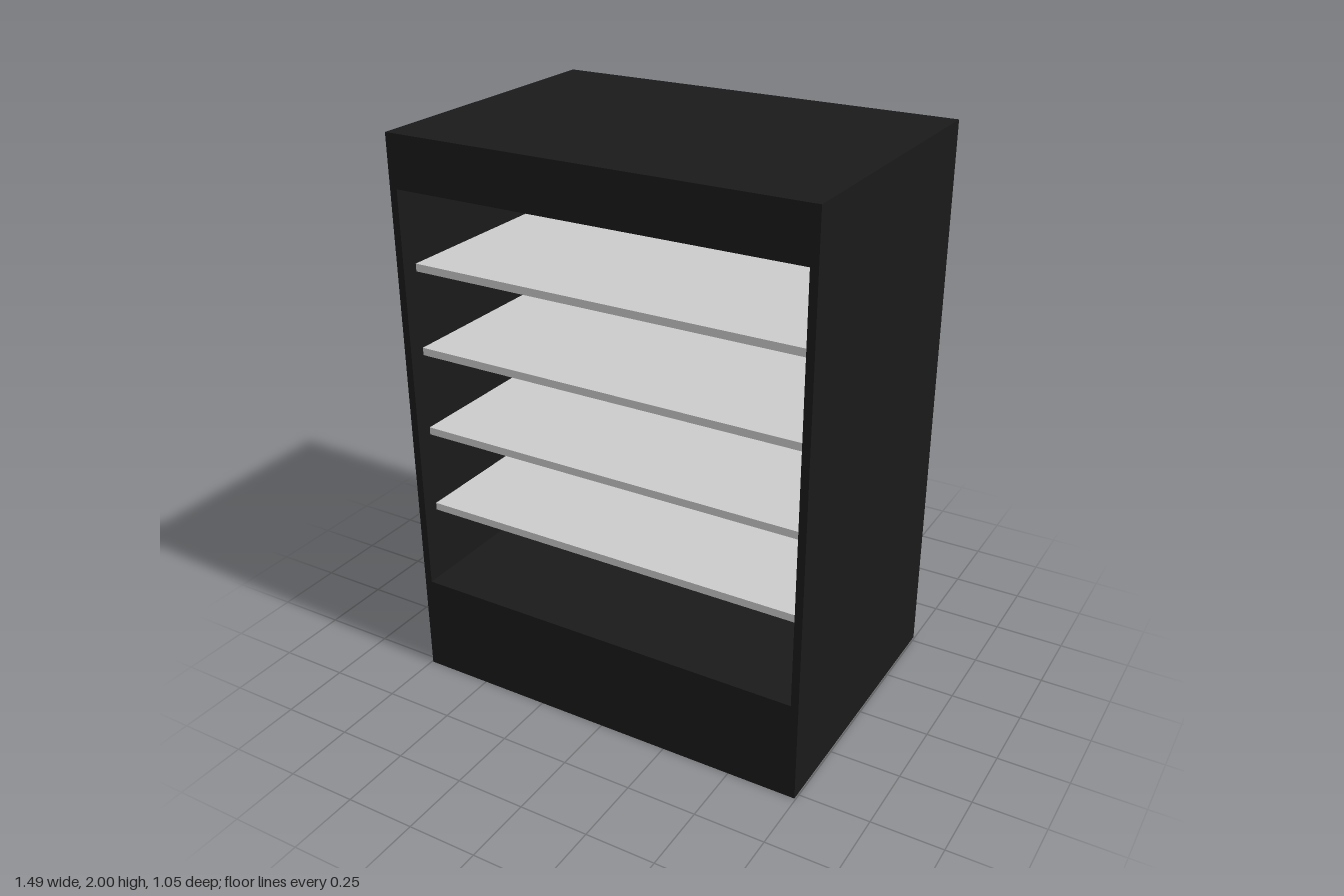
import * as THREE from 'three';

const W = 1.49, H = 2, D = 1.046;   // outer size
const T = 0.027;                    // panel thickness
const BASE = 0.36, HEADER = 1.82;   // lower and upper edge of the opening

export function createModel() {
  const group = new THREE.Group();
  group.name = 'openShelfCabinet';
  const black = new THREE.MeshStandardMaterial({ color: 0x1a1a1a });
  const grey = new THREE.MeshStandardMaterial({ color: 0xcccccc });

  // Box given by its extents along each axis
  const box = (name, material, [x0, x1], [y0, y1], [z0, z1]) => {
    const mesh = new THREE.Mesh(new THREE.BoxGeometry(x1 - x0, y1 - y0, z1 - z0), material);
    mesh.position.set((x0 + x1) / 2, (y0 + y1) / 2, (z0 + z1) / 2);
    mesh.name = name;
    group.add(mesh);
  };

  const inner = [-W / 2 + T, W / 2 - T];
  const depth = [-D / 2, D / 2];

  // Carcass: two sides, plinth, header and back
  box('rightSide', black, [-W / 2, inner[0]], [0, H], depth);
  box('leftSide', black, [inner[1], W / 2], [0, H], depth);
  box('base', black, inner, [0, BASE], depth);
  box('header', black, inner, [HEADER, H], depth);
  box('backPanel', black, inner, [BASE, HEADER], [-D / 2, -D / 2 + T]);

  // Pale lining on the inside of the back
  box('backLining', grey, inner, [BASE, HEADER], [-D / 2 + T, -D / 2 + T + 0.01]);

  // Four evenly spaced shelves, set back from the front
  for (let i = 0; i < 4; i++) {
    const y = 0.63 + i * 0.299;
    box('shelf' + (i + 1), grey, inner, [y, y + T], [-D / 2 + T + 0.01, 0.463]);
  }
  return group;
}
